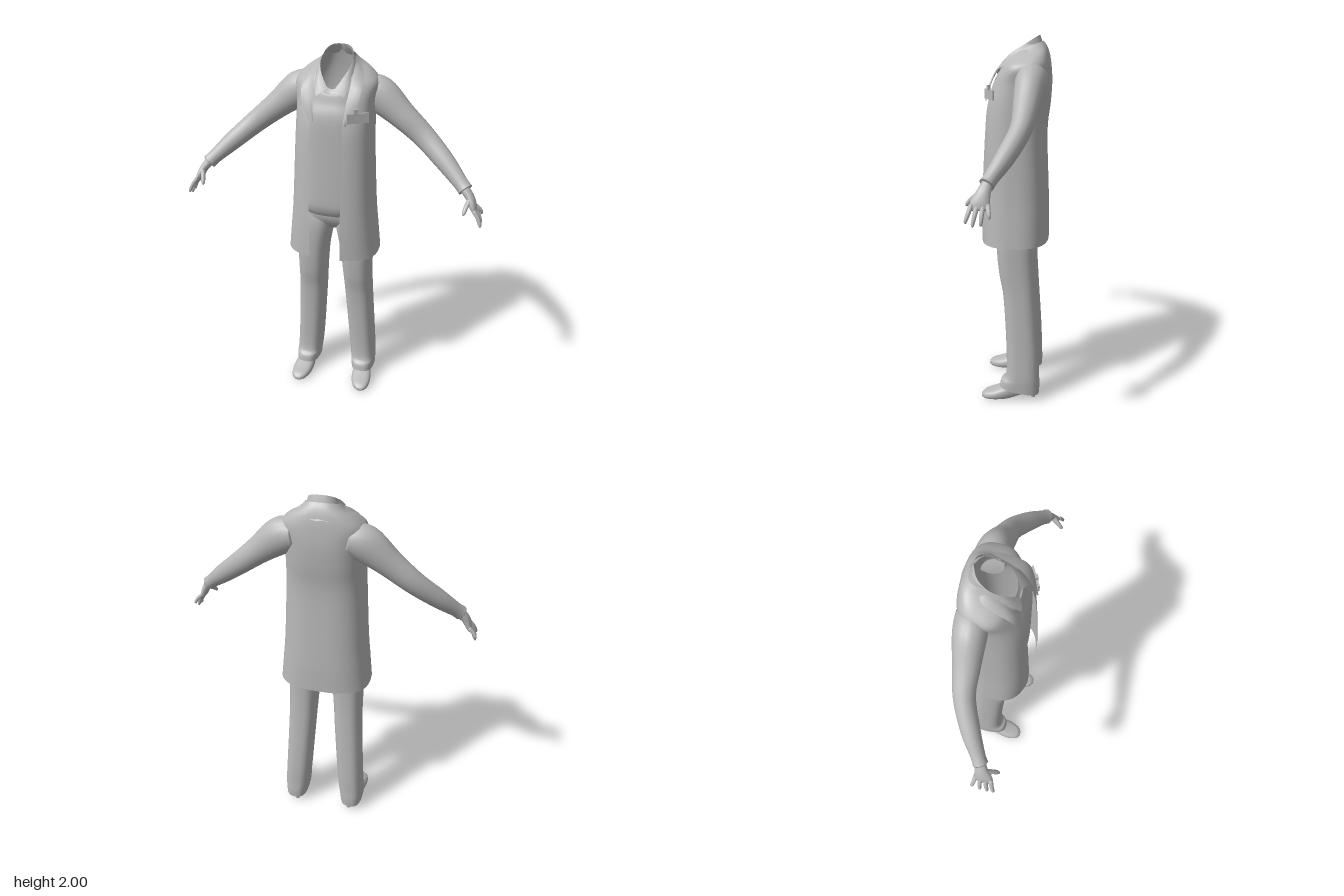
import * as THREE from 'three';

const cloth = new THREE.MeshStandardMaterial({ color: 0xb8b8b8, side: THREE.DoubleSide });
cloth.name = 'plain grey';

// Catmull-Rom interpolation of rows of numbers
function smooth(rows, n = 5) {
  const out = [], at = i => rows[Math.min(Math.max(i, 0), rows.length - 1)];
  for (let i = 0; i < rows.length - 1; i++) {
    for (let k = 0; k < n; k++) {
      const t = k / n, [a, b, c, d] = [at(i - 1), at(i), at(i + 1), at(i + 2)];
      out.push(b.map((_, j) => 0.5 * (2 * b[j] + (c[j] - a[j]) * t
        + (2 * a[j] - 5 * b[j] + 4 * c[j] - d[j]) * t * t
        + (3 * b[j] - a[j] - 3 * c[j] + d[j]) * t * t * t)));
    }
  }
  out.push(rows[rows.length - 1]);
  return out;
}

// Skin over rings of points; closed rings wrap round, caps close the ends
function loft(rings, { closed = true, caps = false } = {}) {
  const n = rings[0].length, pos = rings.flat(2), idx = [];
  const steps = closed ? n : n - 1;
  for (let i = 0; i < rings.length - 1; i++) {
    for (let j = 0; j < steps; j++) {
      const a = i * n + j, b = i * n + (j + 1) % n;
      idx.push(a, b, a + n, b, b + n, a + n);
    }
  }
  if (caps) {
    [0, rings.length - 1].forEach(r => {
      const c = pos.length / 3;
      for (let k = 0; k < 3; k++) pos.push(rings[r].reduce((s, p) => s + p[k], 0) / n);
      for (let j = 0; j < n; j++) {
        const a = r * n + j, b = r * n + (j + 1) % n;
        if (r) idx.push(a, b, c); else idx.push(b, a, c);
      }
    });
  }
  const g = new THREE.BufferGeometry();
  g.setAttribute('position', new THREE.Float32BufferAttribute(pos, 3));
  g.setIndex(idx);
  g.computeVertexNormals();
  return g;
}

// Rounded horizontal ring, tilted up at the back, with an optional front dip
const POWER = 0.75;
const soft = v => Math.sign(v) * Math.abs(v) ** POWER;
function bodyRing(y, cx, w, zf, zb, tilt = 0, dip = 0, from = 0, to = Math.PI * 2, n = 48, closed = true) {
  const ring = [];
  for (let j = 0; j < n; j++) {
    const t = from + (to - from) * j / (closed ? n : n - 1);
    const z = soft(Math.cos(t));
    ring.push([cx + w * soft(Math.sin(t)),
      y - tilt * z - dip * Math.max(0, Math.cos(t)) ** 8,
      (zf + zb) / 2 + (zf - zb) / 2 * z]);
  }
  return ring;
}

// Limb along a path; rows are x, y, z, thickness radius, width radius
function limb(rows, side, n = 20, sub = 5) {
  const pts = smooth(rows, sub), front = new THREE.Vector3(0, 0, 1);
  const rings = pts.map((p, i) => {
    const a = pts[Math.max(i - 1, 0)], b = pts[Math.min(i + 1, pts.length - 1)];
    const dir = new THREE.Vector3(b[0] - a[0], b[1] - a[1], b[2] - a[2]).normalize();
    const u = new THREE.Vector3().crossVectors(dir, front).normalize();
    const v = new THREE.Vector3().crossVectors(dir, u);
    const ring = Array.from({ length: n }, (_, j) => {
      const t = j / n * Math.PI * 2, c = p[3] * Math.cos(t), s = p[4] * Math.sin(t);
      return [side * (p[0] + u.x * c + v.x * s), p[1] + u.y * c + v.y * s, p[2] + u.z * c + v.z * s];
    });
    return side < 0 ? ring.reverse() : ring;
  });
  return loft(rings, { caps: true });
}

// Thin band between an inner and an outer edge, slightly puffed in the middle
function band(rows, side) {
  const rings = smooth(rows, 4).map(r => [0, 0.5, 1].map(t => [
    side * (r[0] + (r[3] - r[0]) * t),
    r[1] + (r[4] - r[1]) * t + (t === 0.5 ? 0.005 : 0),
    r[2] + (r[5] - r[2]) * t + (t === 0.5 ? 0.006 : 0)]));
  if (side < 0) rings.forEach(r => r.reverse());
  return loft(rings, { closed: false });
}

export function createModel() {
  const model = new THREE.Group();
  model.name = 'clothedFigure';
  const add = (name, geometry, parent = model) => {
    const m = new THREE.Mesh(geometry, cloth);
    m.name = name;
    parent.add(m);
    return m;
  };

  // Long coat, open down the front: y, width, front, back, tilt, left edge, right edge
  const coat = smooth([
    [0.915, 0.25, 0.185, -0.18, 0, 0.07, 0.10],
    [1.05, 0.236, 0.187, -0.18, 0, 0.07, 0.10],
    [1.2, 0.222, 0.182, -0.175, 0, 0.07, 0.10],
    [1.5, 0.206, 0.165, -0.165, 0, 0.07, 0.10],
    [1.65, 0.2, 0.15, -0.18, 0, 0.07, 0.095],
    [1.76, 0.2, 0.115, -0.187, 0, 0.08, 0.09],
    [1.84, 0.21, 0.075, -0.182, 0.005, 0.09, 0.095],
    [1.885, 0.17, 0.06, -0.172, 0.02, 0.09, 0.09],
    [1.915, 0.115, 0.045, -0.158, 0.03, 0.085, 0.085],
    [1.94, 0.088, 0.03, -0.14, 0.03, 0.075, 0.075],
  ]).map(([y, w, zf, zb, tilt, l, r]) => {
    const edge = x => Math.asin(Math.min(1, x / w) ** (1 / POWER));
    return bodyRing(y, 0, w, zf, zb, tilt, 0, edge(l), Math.PI * 2 - edge(r), 60, false);
  });
  add('coat', loft(coat, { closed: false }));

  // Shirt with an open neck
  add('shirt', loft(smooth([
    [1.14, 0.16, 0.115, -0.12, 0, 0], [1.18, 0.178, 0.135, -0.135, 0, 0],
    [1.25, 0.182, 0.142, -0.14, 0, 0], [1.5, 0.178, 0.14, -0.14, 0, 0],
    [1.68, 0.17, 0.135, -0.15, 0, 0], [1.76, 0.155, 0.108, -0.16, 0, 0],
    [1.84, 0.13, 0.095, -0.155, 0.02, 0.02], [1.9, 0.092, 0.085, -0.138, 0.05, 0.045],
    [1.937, 0.08, 0.072, -0.122, 0.063, 0.05],
  ]).map(([y, w, zf, zb, t, d]) => bodyRing(y, 0, w, zf, zb, t, d))));

  // Seat of the trousers
  add('trouserSeat', loft(smooth([
    [1.04, 0.15, 0.05, -0.09], [1.08, 0.185, 0.085, -0.12], [1.14, 0.192, 0.105, -0.13], [1.25, 0.17, 0.1, -0.12],
  ]).map(([y, w, zf, zb]) => bodyRing(y, 0, w, zf, zb)), { caps: true }));

  // Name badge and its clip
  const badge = new THREE.Group();
  badge.name = 'badge';
  badge.position.set(0.145, 1.708, 0.127);
  badge.rotation.y = 0.5;
  model.add(badge);
  add('badgeCard', new THREE.BoxGeometry(0.11, 0.05, 0.009), badge);
  add('badgeClip', new THREE.BoxGeometry(0.022, 0.03, 0.014), badge).position.set(-0.01, 0.032, 0);

  for (const side of [1, -1]) {
    const name = side > 0 ? 'left' : 'right';

    // Collars: inner edge then outer edge
    add(name + 'ShirtCollar', band([
      [0, 2.0, -0.12, 0, 1.95, -0.145], [0.055, 1.982, -0.09, 0.075, 1.94, -0.115],
      [0.08, 1.945, -0.03, 0.098, 1.91, -0.03], [0.065, 1.9, 0.035, 0.09, 1.86, 0.055],
      [0.018, 1.83, 0.088, 0.072, 1.795, 0.112],
    ], side));
    add(name + 'Lapel', band([
      [0, 1.955, -0.14, 0, 1.895, -0.178], [0.07, 1.95, -0.11, 0.095, 1.898, -0.155],
      [0.092, 1.925, -0.03, 0.135, 1.9, -0.05], [0.095, 1.865, 0.055, 0.15, 1.845, 0.07],
      [0.085, 1.78, 0.115, 0.14, 1.765, 0.118], [0.075, 1.68, 0.15, 0.088, 1.665, 0.152],
    ], side));

    // Sleeve with a slightly flared cuff
    add(name + 'Sleeve', limb([
      [0.13, 1.79, -0.095, 0.075, 0.078], [0.21, 1.765, -0.088, 0.093, 0.08],
      [0.33, 1.672, -0.075, 0.071, 0.066], [0.45, 1.575, -0.058, 0.059, 0.053],
      [0.57, 1.474, -0.002, 0.05, 0.047], [0.66, 1.393, 0.055, 0.038, 0.036],
      [0.69, 1.365, 0.075, 0.039, 0.037],
    ], side));

    // Hand
    const hand = new THREE.Group();
    hand.name = name + 'Hand';
    model.add(hand);
    add('palm', limb([
      [0.68, 1.375, 0.07, 0.024, 0.026], [0.715, 1.335, 0.085, 0.022, 0.033],
      [0.738, 1.29, 0.099, 0.018, 0.046], [0.75, 1.262, 0.1, 0.01, 0.04],
    ], side, 14, 4), hand);
    [[0.137, 0.158, 1.21], [0.111, 0.127, 1.195], [0.085, 0.091, 1.2], [0.063, 0.053, 1.232]].forEach(([z0, z1, y], i) => {
      add('finger' + (i + 1), limb([
        [0.742, 1.285, z0, 0.011, 0.012], [0.766, (1.285 + y) / 2 + 0.006, (z0 + z1) / 2, 0.01, 0.0105],
        [0.78, y + 0.012, z1, 0.0085, 0.0085], [0.782, y, z1, 0.004, 0.004],
      ], side, 10, 3), hand);
    });
    add('thumb', limb([
      [0.72, 1.335, 0.098, 0.014, 0.016], [0.705, 1.305, 0.135, 0.012, 0.013],
      [0.697, 1.28, 0.16, 0.01, 0.01], [0.696, 1.268, 0.168, 0.004, 0.004],
    ], side, 10, 3), hand);

    // Trouser leg: y, centre, width, front, back, tilt
    add(name + 'TrouserLeg', loft(smooth([
      [0.055, 0.173, 0.066, 0.08, -0.142, -0.02], [0.1, 0.171, 0.069, 0.072, -0.145, -0.014],
      [0.15, 0.167, 0.072, 0.045, -0.142, 0], [0.3, 0.156, 0.074, 0.043, -0.138, 0],
      [0.6, 0.137, 0.077, 0.06, -0.12, 0], [0.75, 0.13, 0.08, 0.085, -0.112, 0],
      [0.9, 0.123, 0.087, 0.098, -0.11, 0], [1.05, 0.107, 0.098, 0.102, -0.118, 0],
      [1.14, 0.098, 0.095, 0.09, -0.11, 0],
    ]).map(([y, cx, w, zf, zb, tilt]) => {
      const ring = bodyRing(y, 0, w, zf, zb, tilt, 0, 0, Math.PI * 2, 32);
      return ring.map(p => [p[0] + side * cx, p[1], p[2]]);
    })));

    // Shoe: z, half width, sole height, top height
    add(name + 'Shoe', loft(smooth([
      [-0.125, 0.02, 0.05, 0.1], [-0.11, 0.034, 0.042, 0.11], [-0.07, 0.041, 0.034, 0.11],
      [-0.01, 0.046, 0.012, 0.1], [0.05, 0.056, 0, 0.082], [0.11, 0.056, 0, 0.06],
      [0.16, 0.04, 0.003, 0.045], [0.182, 0.014, 0.01, 0.028],
    ], 4).map(([z, w, y0, y1]) => Array.from({ length: 20 }, (_, j) => {
      const t = j / 20 * Math.PI * 2;
      return [side * (0.175 + 0.1 * z) + w * soft(Math.cos(t)), (y0 + y1) / 2 + (y1 - y0) / 2 * soft(Math.sin(t)), z];
    })), { caps: true }));
    add(name + 'Heel', new THREE.CylinderGeometry(0.022, 0.012, 0.06, 12)).position.set(side * 0.165, 0.03, -0.108);
  }
  return model;
}
